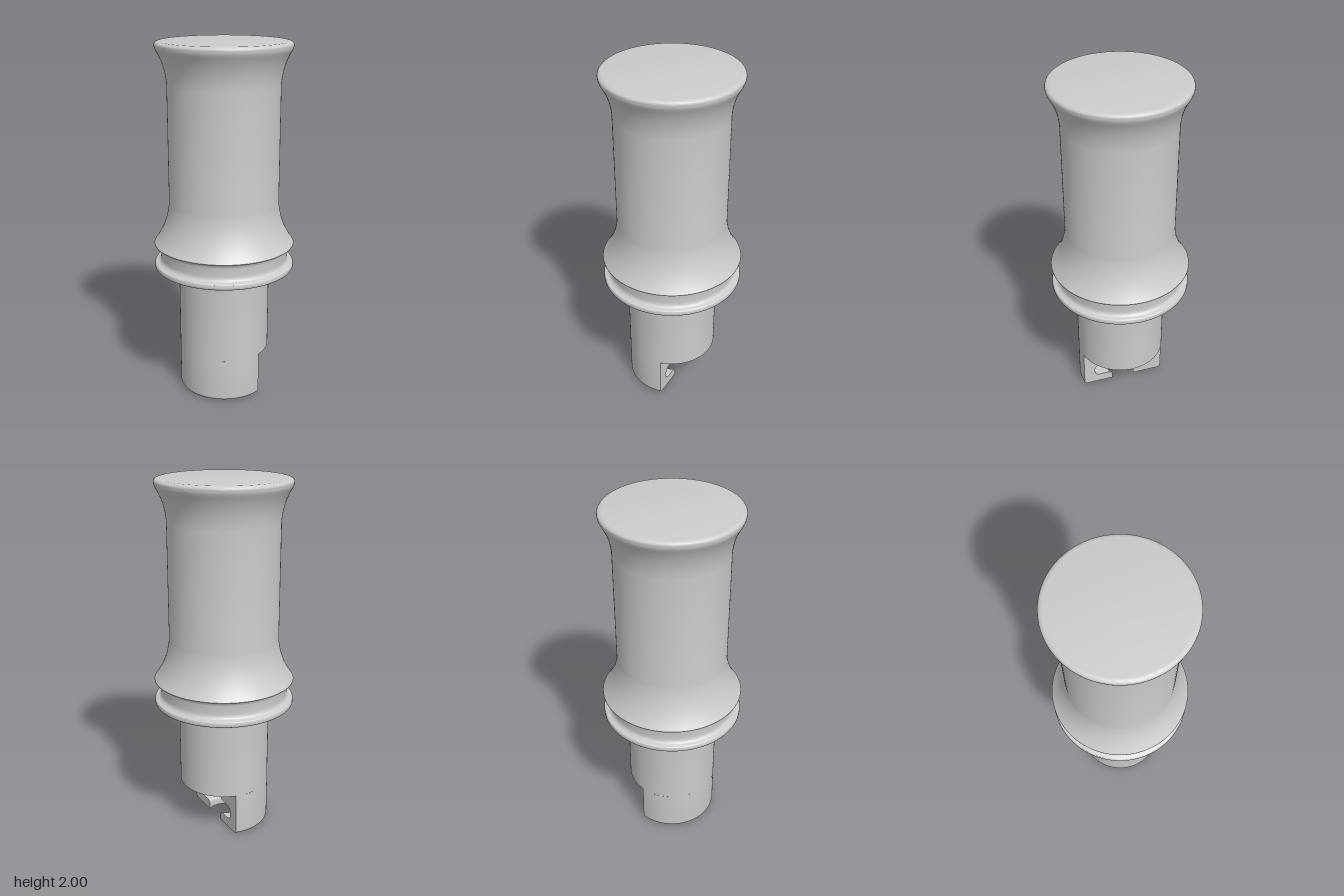
import * as THREE from 'three';
import { toCreasedNormals } from 'three/addons/utils/BufferGeometryUtils.js';

const SEG = 96;
const CUT_Z = -0.06;   // plane of the flat at the back of the foot
const CUT_Y = 0.25;    // height of the step above it
const SHAFT = 0.257;
const BORE = 0.085;

const V = (x, y) => new THREE.Vector2(x, y);
// Rounded stretch of a profile
const bend = (x0, y0, cx, cy, x1, y1, n = 8) =>
  new THREE.QuadraticBezierCurve(V(x0, y0), V(cx, cy), V(x1, y1)).getPoints(n);
// Half-width of a circle of radius r where the flat cuts it
const chord = (r) => Math.sqrt(r * r - CUT_Z * CUT_Z);

export function createModel() {
  const model = new THREE.Group();
  const material = new THREE.MeshStandardMaterial({ color: 0xcccccc });
  const add = (name, geometry, parent = model) => {
    const mesh = new THREE.Mesh(geometry, material);
    mesh.name = name;
    parent.add(mesh);
    return mesh;
  };

  // Shaft, flange, groove, flared skirt, grip and rounded head in one turning
  const body = [
    V(SHAFT, CUT_Y),
    ...bend(SHAFT, 0.67, SHAFT, 0.74, 0.32, 0.742),
    ...bend(0.38, 0.742, 0.394, 0.742, 0.394, 0.755, 4),
    ...bend(0.394, 0.765, 0.394, 0.776, 0.383, 0.777, 4),
    ...bend(0.38, 0.778, 0.358, 0.782, 0.358, 0.81),
    ...bend(0.358, 0.855, 0.36, 0.88, 0.394, 0.885),
    ...bend(0.394, 0.888, 0.318, 0.99, 0.307, 1.12, 14),
    ...bend(0.307, 1.77, 0.312, 1.87, 0.36, 1.95, 14),
    ...bend(0.36, 1.95, 0.385, 1.997, 0.345, 2.0),
    V(0, 2.0),
  ];
  add('turnedBody', toCreasedNormals(new THREE.LatheGeometry(body, SEG), 0.6));

  // Foot section: down the stepped cavity, across the base, up the outside
  const foot = [
    V(BORE, CUT_Y),
    ...bend(BORE, 0.17, BORE, 0.14, 0.115, 0.138, 6),
    ...bend(0.15, 0.138, 0.192, 0.138, 0.192, 0.095, 6),
    ...bend(0.192, 0.09, 0.192, 0.055, 0.155, 0.055, 6),
    ...bend(0.11, 0.055, 0.09, 0.052, 0.09, 0.035, 4),
    V(0.09, 0),
    ...bend(SHAFT - 0.022, 0, SHAFT, 0, SHAFT, 0.022, 6),
    V(SHAFT, CUT_Y),
  ];
  const footGroup = new THREE.Group();
  footGroup.name = 'slottedFoot';
  model.add(footGroup);

  // Each ring of the lathe is shortened so that it ends on the flat
  const wall = new THREE.LatheGeometry(foot, SEG);
  const pos = wall.attributes.position;
  for (let i = 0; i < pos.count; i++) {
    const r = foot[i % foot.length].x;
    const end = Math.acos(CUT_Z / r);
    const a = end * (2 * Math.floor(i / foot.length) / SEG - 1);
    pos.setXYZ(i, r * Math.sin(a), pos.getY(i), r * Math.cos(a));
  }
  add('footWall', toCreasedNormals(wall, 0.6), footGroup);

  // Flat cut faces on both sides of the cavity
  for (const side of [-1, 1]) {
    const outline = foot.map((p) => V(side * chord(p.x), p.y));
    const face = new THREE.ShapeGeometry(new THREE.Shape(outline));
    face.rotateY(Math.PI).translate(0, 0, CUT_Z);
    add(side > 0 ? 'rightCutFace' : 'leftCutFace', face, footGroup);
  }

  // Underside of the step, with the edge of the bore taken out
  const angle = (r) => Math.asin(CUT_Z / r);
  const step = new THREE.Shape();
  step.moveTo(chord(SHAFT), CUT_Z);
  step.absarc(0, 0, SHAFT, angle(SHAFT), Math.PI - angle(SHAFT), true);
  step.lineTo(-chord(BORE), CUT_Z);
  step.absarc(0, 0, BORE, Math.PI - angle(BORE), angle(BORE), false);
  step.closePath();
  const underside = new THREE.ShapeGeometry(step, 48);
  underside.rotateX(Math.PI / 2).translate(0, CUT_Y, 0);
  add('stepUnderside', underside, footGroup);

  // Blind end of the bore above the step
  const bore = new THREE.LatheGeometry([V(0, 0.3), V(BORE, 0.3), V(BORE, CUT_Y)], SEG);
  add('boreEnd', toCreasedNormals(bore, 0.6), footGroup);

  return model;
}
